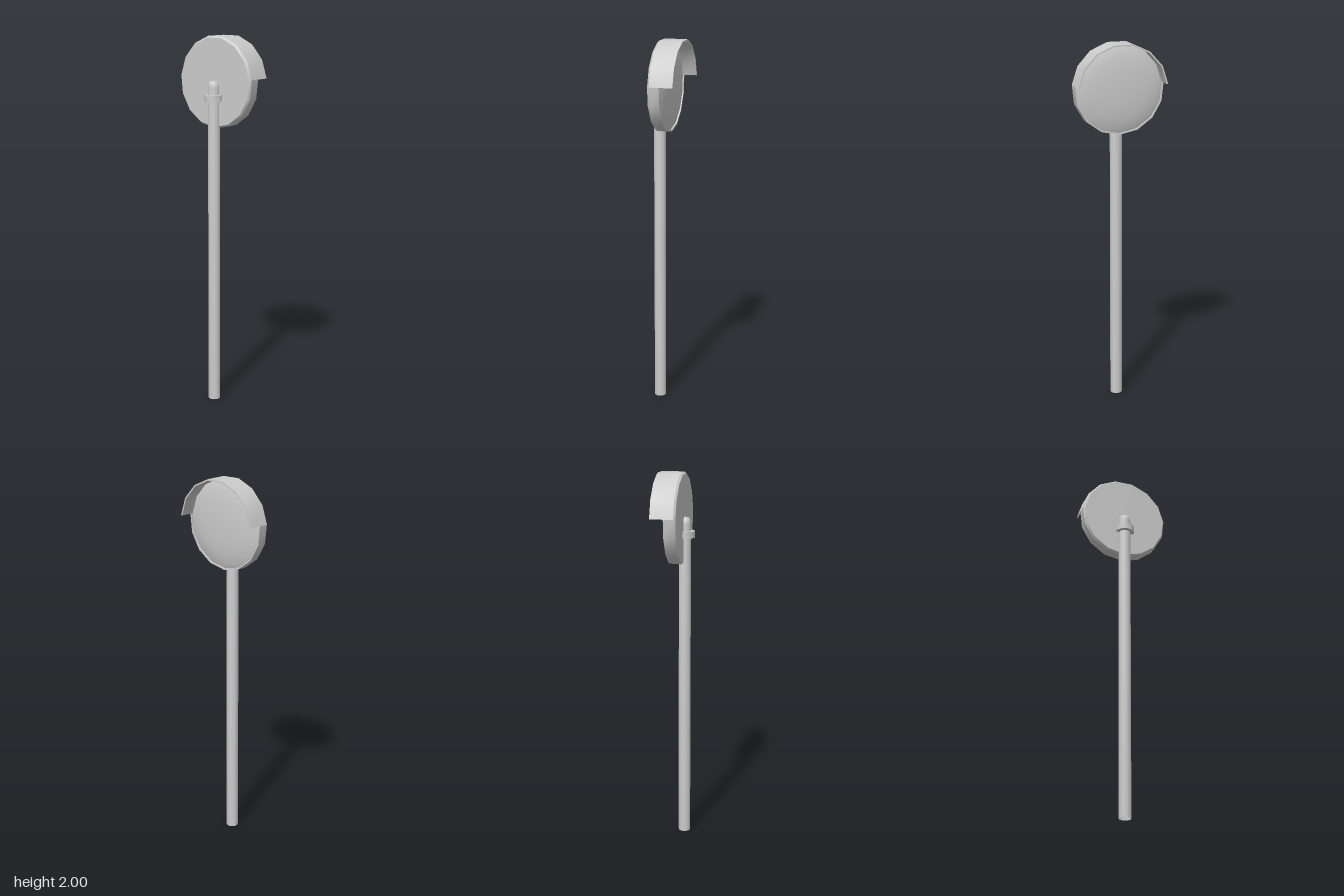
import * as THREE from 'three';
import { toCreasedNormals } from 'three/addons/utils/BufferGeometryUtils.js';

const material = new THREE.MeshStandardMaterial({ color: 0xcccccc, side: THREE.DoubleSide });
const R = 0.245, WALL = 0.009, HEAD_Y = 1.76, POLE_X = -0.043, SIDES = 15;
const STEP = (Math.PI * 2) / SIDES;

function addMesh(parent, name, geometry, x, y, crease = 0.7) {
  const mesh = new THREE.Mesh(toCreasedNormals(geometry, crease), material);
  mesh.name = name;
  mesh.position.set(x, y, 0);
  parent.add(mesh);
}

// Turned part with a corner pointing along +x
function turned(profile, sides) {
  const points = profile.map(([r, y]) => new THREE.Vector2(r, y));
  return new THREE.LatheGeometry(points, sides, Math.PI / 2);
}

// Thin curved wall around the x axis, spanning a number of sides up to the given front edge
function wall(startAngle, count, front) {
  const columns = Array.from({ length: count + 1 }, (_, i) => {
    const a = startAngle + i * STEP;
    return [[-0.03, R], [front, R - 0.001], [front, R - WALL], [0, R - WALL]]
      .map(([x, r]) => [x, r * Math.sin(a), r * Math.cos(a)]);
  });
  const positions = [];
  const quad = (a, b, c, d) => positions.push(...a, ...b, ...c, ...a, ...c, ...d);
  for (let i = 0; i < count; i++) {
    const p = columns[i], q = columns[i + 1];
    for (let j = 0; j < 3; j++) quad(p[j], p[j + 1], q[j + 1], q[j]);
  }
  // End caps
  const s = columns[0], e = columns[count];
  quad(s[0], s[3], s[2], s[1]);
  quad(e[0], e[1], e[2], e[3]);
  const geometry = new THREE.BufferGeometry();
  geometry.setAttribute('position', new THREE.Float32BufferAttribute(positions, 3));
  return geometry;
}

export function createModel() {
  const model = new THREE.Group();
  model.name = 'signalPost';

  // Tubular post, open at the foot, with a rounded tip
  addMesh(model, 'pole', turned([
    [0.033, 0], [0.033, 1.735], [0.03, 1.755], [0.02, 1.766], [0, 1.769],
  ], 10), POLE_X, 0, 1.1);

  // Clamp ring holding the head
  addMesh(model, 'clamp', turned([
    [0.03, 1.66], [0.054, 1.66], [0.054, 1.695], [0.03, 1.695],
  ], 10), POLE_X, 0);

  // Round head facing +x
  const head = new THREE.Group();
  head.name = 'head';
  model.add(head);
  addMesh(head, 'backPlate',
    turned([[0, -0.041], [R - 0.009, -0.041], [R, -0.03]], SIDES).rotateZ(-Math.PI / 2), 0, HEAD_Y);

  // Domed lens
  addMesh(head, 'lens', turned([
    [R - WALL, 0.014], [0.22, 0.021], [0.16, 0.033], [0.09, 0.039], [0, 0.041],
  ], SIDES).rotateZ(-Math.PI / 2), 0, HEAD_Y);

  // Deep hood over the upper half, shallow rim under it
  const hoodStart = -Math.PI / 2 + 4 * STEP;
  addMesh(head, 'hood', wall(hoodStart, 7, 0.094), 0, HEAD_Y);
  addMesh(head, 'lowerRim', wall(hoodStart + 7 * STEP, 8, 0.023), 0, HEAD_Y);

  return model;
}
